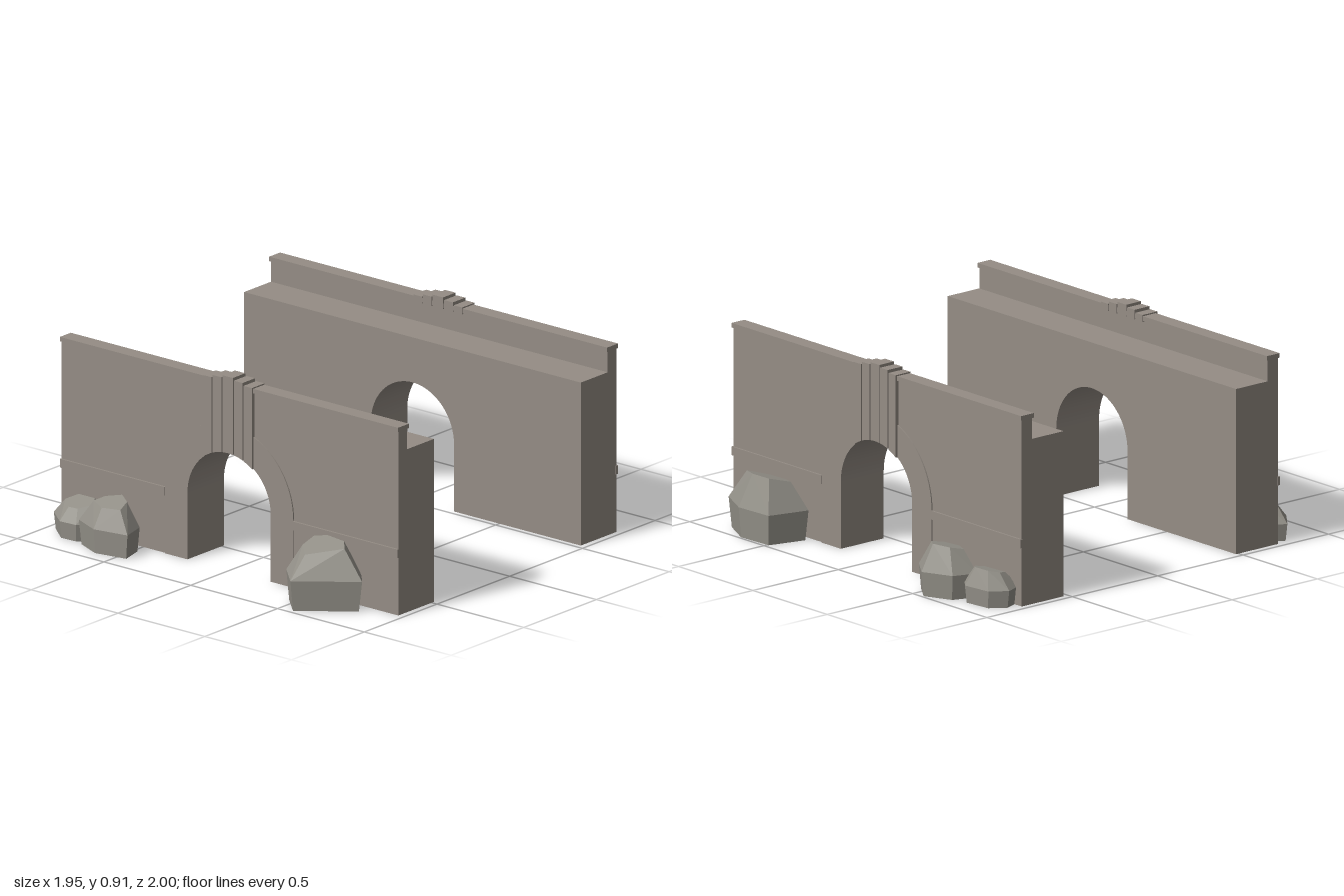
import * as THREE from 'three';
import { ConvexGeometry } from 'three/addons/geometries/ConvexGeometry.js';

const SPRING = 0.31, R_IN = 0.24, R_OUT = 0.37, HALF = 0.97;

export function createModel() {
  const model = new THREE.Group();
  model.name = 'archedBridgeWalls';
  const stone = new THREE.MeshStandardMaterial({ name: 'wall stone', color: 0x958d85 });
  const rockMat = new THREE.MeshStandardMaterial({ name: 'rock grey', color: 0x939088 });

  const add = (parent, name, geometry, material = stone) => {
    const mesh = new THREE.Mesh(geometry, material);
    mesh.name = name;
    parent.add(mesh);
    return mesh;
  };
  const box = (parent, name, x0, x1, y0, y1, z0, z1) =>
    add(parent, name, new THREE.BoxGeometry(x1 - x0, y1 - y0, z1 - z0))
      .position.set((x0 + x1) / 2, (y0 + y1) / 2, (z0 + z1) / 2);
  const slab = (parent, name, shape, z0, z1) =>
    add(parent, name, new THREE.ExtrudeGeometry(shape, { depth: z1 - z0, bevelEnabled: false, curveSegments: 20 }))
      .position.z = z0;

  // Closes an outline along the arch opening, from right foot to left foot
  const openArch = (shape) => {
    shape.lineTo(R_IN, 0);
    shape.lineTo(R_IN, SPRING);
    shape.absarc(0, SPRING, R_IN, 0, Math.PI, false);
    shape.lineTo(-R_IN, 0);
    return shape;
  };
  const wallShape = (height) => {
    const s = new THREE.Shape();
    s.moveTo(-HALF, 0);
    s.lineTo(-HALF, height);
    s.lineTo(HALF, height);
    s.lineTo(HALF, 0);
    return openArch(s);
  };
  const surroundShape = () => {
    const s = new THREE.Shape();
    s.moveTo(-R_OUT, 0);
    s.lineTo(-R_OUT, SPRING);
    s.absarc(0, SPRING, R_OUT, Math.PI, 0, true);
    s.lineTo(R_OUT, 0);
    return openArch(s);
  };
  // Upright stone whose foot follows the arch
  const keystoneShape = (x0, x1, top) => {
    const s = new THREE.Shape();
    s.moveTo(x1, top);
    s.lineTo(x0, top);
    for (let i = 0; i <= 4; i++) {
      const x = x0 + (x1 - x0) * i / 4;
      s.lineTo(x, SPRING + Math.sqrt(R_IN * R_IN - x * x));
    }
    return s;
  };

  const makeWall = (name) => {
    const wall = new THREE.Group();
    wall.name = name;
    slab(wall, 'deckBlock', wallShape(0.76), 0.505, 0.69);
    slab(wall, 'faceWall', wallShape(0.86), 0.69, 0.75);
    slab(wall, 'archSurround', surroundShape(), 0.75, 0.756);
    box(wall, 'coping', -0.974, 0.974, 0.857, 0.878, 0.682, 0.757);
    for (const side of [-1, 1]) {
      const xs = [side * R_OUT, side * 0.973].sort((a, b) => a - b);
      box(wall, 'stringCourse', xs[0], xs[1], 0.27, SPRING, 0.745, 0.759);
    }
    // Five stepped stones over the crown
    const stones = [[-0.14, -0.092, 0.884], [-0.086, -0.036, 0.896], [-0.03, 0.03, 0.907],
      [0.036, 0.086, 0.896], [0.092, 0.14, 0.884]];
    for (const [x0, x1, top] of stones) {
      slab(wall, 'keystone', keystoneShape(x0, x1, top), 0.74, 0.766);
      box(wall, 'keystoneTop', x0, x1, 0.852, top, 0.68, 0.745);
    }
    model.add(wall);
    return wall;
  };
  makeWall('frontWall').position.z = -0.02;
  const back = makeWall('backWall');
  back.position.z = -0.02;
  back.rotation.y = Math.PI;

  // Faceted boulder: foot, belly and smaller tilted top from one plan outline
  const rock = (name, h, tilt, plan) => {
    const cx = plan.reduce((a, p) => a + p[0], 0) / plan.length;
    const cz = plan.reduce((a, p) => a + p[1], 0) / plan.length;
    const pts = [];
    for (const [x, z] of plan) {
      const dx = x - cx, dz = z - cz;
      pts.push(new THREE.Vector3(cx + dx * 0.92, 0, cz + dz * 0.92));
      pts.push(new THREE.Vector3(x, h * 0.48, z));
      pts.push(new THREE.Vector3(cx + dx * 0.55, h * 0.93 + dz * tilt, cz + dz * 0.55));
    }
    add(model, name, new ConvexGeometry(pts), rockMat);
  };
  rock('largeRockFront', 0.295, -0.15,
    [[0.45, 0.74], [0.45, 0.88], [0.57, 0.995], [0.82, 0.8], [0.74, 0.71], [0.55, 0.69]]);
  rock('mediumRockFront', 0.235, -0.15,
    [[-0.745, 0.88], [-0.61, 0.94], [-0.44, 0.91], [-0.47, 0.79], [-0.58, 0.72], [-0.7, 0.79]]);
  rock('smallRockFront', 0.165, -0.15,
    [[-0.965, 0.79], [-0.86, 0.875], [-0.77, 0.87], [-0.69, 0.78], [-0.74, 0.69], [-0.91, 0.69]]);
  rock('largeRockBack', 0.29, -0.15,
    [[0.43, -0.8], [0.48, -0.99], [0.67, -1], [0.83, -0.92], [0.72, -0.77], [0.54, -0.75]]);
  rock('mediumRockBack', 0.235, -0.12,
    [[-0.74, -0.83], [-0.7, -0.94], [-0.56, -1], [-0.45, -0.92], [-0.45, -0.79], [-0.6, -0.75]]);
  rock('smallRockBack', 0.165, -0.12,
    [[-0.955, -0.83], [-0.9, -0.905], [-0.76, -0.92], [-0.7, -0.87], [-0.7, -0.77], [-0.92, -0.74]]);

  return model;
}
